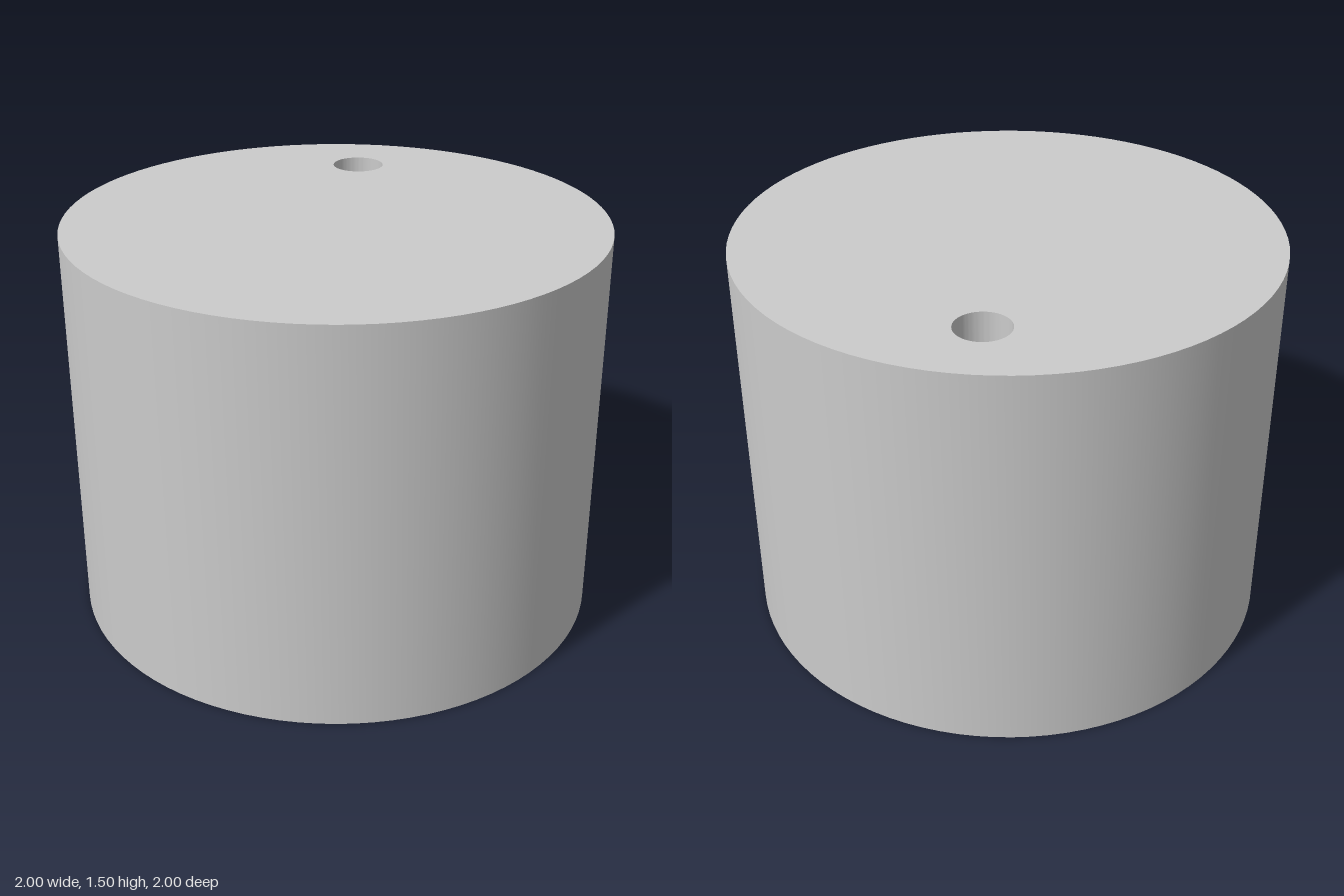
import * as THREE from 'three';
import { toCreasedNormals } from 'three/addons/utils/BufferGeometryUtils.js';

const RADIUS = 1;
const HEIGHT = 1.5;
const HOLE_RADIUS = 0.1;
const HOLE_OFFSET = 0.7; // towards the back

export function createModel() {
  const group = new THREE.Group();
  group.name = 'drilledCylinder';

  // Round outline with a small off-centre hole running right through
  const outline = new THREE.Shape();
  outline.absarc(0, 0, RADIUS, 0, Math.PI * 2, false);
  const hole = new THREE.Path();
  hole.absarc(0, HOLE_OFFSET, HOLE_RADIUS, 0, Math.PI * 2, true);
  outline.holes.push(hole);

  // Extrude upwards; smooth walls, sharp rims
  const extruded = new THREE.ExtrudeGeometry(outline, {
    depth: HEIGHT,
    bevelEnabled: false,
    curveSegments: 48,
  });
  extruded.rotateX(-Math.PI / 2);
  const geometry = toCreasedNormals(extruded, Math.PI / 6);

  const body = new THREE.Mesh(geometry, new THREE.MeshStandardMaterial({ color: 0xcccccc }));
  body.name = 'body';
  group.add(body);
  return group;
}
